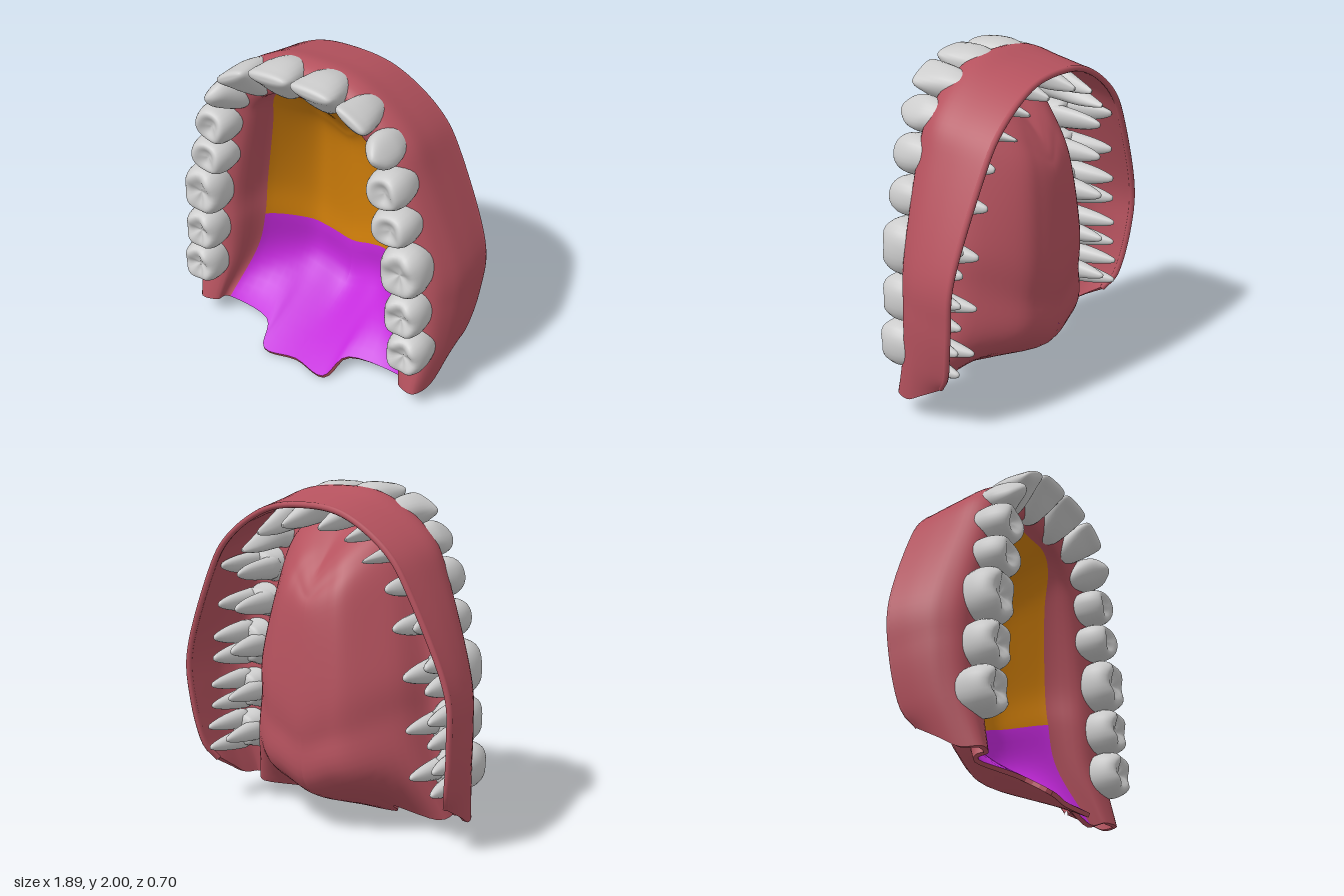
import * as THREE from 'three';
import { mergeVertices } from 'three/addons/utils/BufferGeometryUtils.js';

const V = (p) => new THREE.Vector3(...p);
const spline = (pts) => new THREE.CatmullRomCurve3(pts, false, 'catmullrom', 0.5);
const mat = (color, side = THREE.FrontSide) => new THREE.MeshStandardMaterial({ color, side });
const mirror = (p) => V([-p.x, p.y, p.z]);
const GUM = 0xb5525e;

// Guide lines of the left half, each from the front midline to the rear end
const RIM = [[0, 1.91, -.32], [.28, 1.87, -.32], [.55, 1.7, -.32], [.71, 1.47, -.31], [.92, .98, -.275], [.93, .66, -.25], [.89, .38, -.2], [.84, .26, -.13]].map(V);
const MARGIN = [[0, 1.985, .06], [.3, 1.94, .06], [.585, 1.735, .06], [.71, 1.475, .06], [.88, .98, .03], [.9, .7, .03], [.88, .42, .05], [.83, .12, .12]].map(V);
const RIDGE = [[0, 1.8, .14], [.21, 1.77, .14], [.39, 1.64, .13], [.46, 1.45, .12], [.57, .97, .12], [.59, .7, .12], [.62, .42, .13], [.68, .12, .2]].map(V);
const PALATE_EDGE = [[0, 1.74, .07], [.2, 1.74, .06], [.31, 1.65, .03], [.37, 1.42, -.03], [.46, .98, -.08], [.48, .72, -.07], [.53, .45, -.04], [.64, .11, .12]].map(V);
const MIDLINE = [[1.5, -.17], [1.45, -.21], [1.38, -.25], [1.25, -.29], [.82, -.328], [.57, -.318], [.27, -.25], [.04, .29]].map(([y, z]) => V([0, y, z]));

// Line part way between two others, pushed in z and widened in x
const between = (a, b, t, dz = 0, wide = 1) => a.map((p, k) => {
  const q = p.clone().lerp(b[k], t);
  return q.set(q.x * wide, q.y, q.z + dz);
});
// Palate vault lines, deepening toward the rear; their ends make the notched back edge
const vault = (t, depth, end) => between(PALATE_EDGE, MIDLINE, t)
  .map((p, k) => (k < 7 ? p.setZ(p.z - depth * Math.min(1, k / 3)) : V(end)));
const LINES = [
  RIM, between(RIM, MARGIN, .55, 0, 1.015), MARGIN, between(MARGIN, RIDGE, .3, .08), RIDGE, PALATE_EDGE,
  vault(.4, .085, [.31, .125, .17]), vault(.68, .06, [.22, .035, .32]), MIDLINE,
];
const SUB = 7, COLS = 5;
const N = 2 * (RIM.length - 1) * SUB, M = (LINES.length - 1) * COLS, EDGE = 5 * COLS;

function buildJaw(group) {
  const rails = LINES.map((l) => spline([...l.slice(1).reverse().map(mirror), ...l]));
  const grid = [];
  for (let i = 0; i <= N; i++) {
    const pts = rails.map((r) => r.getPoint(i / N));
    // one point past the midline keeps the vault level where the halves meet
    const section = spline([...pts, mirror(pts[pts.length - 2])]);
    for (let j = 0; j <= M; j++) grid.push(section.getPoint(j / (M + COLS)));
  }
  const id = (i, j) => i * (M + 1) + j;
  const faces = (i0, i1, j0, j1) => {
    const out = [];
    for (let i = i0; i < i1; i++) for (let j = j0; j < j1; j++) {
      const a = id(i, j), b = id(i, j + 1), c = id(i + 1, j + 1), d = id(i + 1, j);
      out.push(a, b, d, b, c, d);
    }
    return out;
  };
  const whole = new THREE.BufferGeometry().setFromPoints(grid);
  whole.setIndex(faces(0, N, 0, M));
  whole.computeVertexNormals();
  const normals = grid.map((_, k) => {
    const n = new THREE.Vector3().fromBufferAttribute(whole.attributes.normal, k);
    if (k % (M + 1) === M) n.x = 0; // both halves meet smoothly on the midline
    return n.normalize();
  });
  const add = (name, color, pts, norms, index) => {
    const g = new THREE.BufferGeometry().setFromPoints(pts);
    g.setAttribute('normal', new THREE.Float32BufferAttribute(norms.flatMap((n) => n.toArray()), 3));
    g.setIndex(index);
    const mesh = new THREE.Mesh(g.toNonIndexed(), mat(color));
    mesh.name = name;
    group.add(mesh);
  };
  add('gum', GUM, grid, normals, faces(0, N, 0, EDGE));
  add('hardPalate', 0xd17f0a, grid, normals, faces(2 * SUB, N - 2 * SUB, EDGE, M));
  add('softPalate', 0xc428dc, grid, normals, [...faces(0, 2 * SUB, EDGE, M), ...faces(N - 2 * SUB, N, EDGE, M)]);

  // Inner side of the shell
  const back = grid.map((p, k) => p.clone().addScaledVector(normals[k], -.026));
  add('gumBack', GUM, back, normals.map((n) => n.clone().negate()), faces(0, N, 0, M).reverse());

  // Cut edges at the two rear ends
  const strip = [];
  for (const i of [0, N]) for (let j = 0; j < M; j++) {
    const a = id(i, j), b = id(i, j + 1);
    strip.push(grid[a], grid[b], back[b], grid[a], back[b], back[a]);
  }
  const stripGeometry = new THREE.BufferGeometry().setFromPoints(strip);
  stripGeometry.computeVertexNormals();
  const ends = new THREE.Mesh(stripGeometry, mat(GUM, THREE.DoubleSide));
  ends.name = 'rearEdge';
  group.add(ends);

  // Rolled lip along the back rim
  const lip = [];
  for (let i = 0; i <= N; i += 2) lip.push(grid[id(i, 0)].clone().lerp(back[id(i, 0)], .6));
  const rim = new THREE.Mesh(new THREE.TubeGeometry(spline(lip), 96, .018, 8), mat(GUM));
  rim.name = 'gumRim';
  group.add(rim);
}

// Tooth loft; profile rows: z, width scale, depth scale, outward shift, cusp height
function loft(profile, w, d, { cusps = 0, taper = 0, ox = 0, oy = 0, seg = 28, rows = 30 }) {
  const size = spline(profile.map((p) => V(p.slice(0, 3))));
  const extra = spline(profile.map((p) => V([p[3] || 0, p[4] || 0, 0])));
  const pos = [], idx = [];
  for (let i = 0; i <= rows; i++) {
    const s = size.getPoint(i / rows), e = extra.getPoint(i / rows);
    for (let j = 0; j < seg; j++) {
      const t = j / seg * Math.PI * 2, c = Math.cos(t), n = Math.sin(t);
      const r = .5 / Math.pow(Math.abs(c) ** 2.4 + Math.abs(n) ** 2.4, 1 / 2.4);
      const v = n * r * d * Math.max(s.z, 0) + e.x;
      pos.push(ox + c * r * w * Math.max(s.y, 0) * (1 + taper * v / d), oy + v, s.x - e.y * Math.cos(cusps * t));
      if (i < rows) {
        const a = i * seg + j, b = i * seg + (j + 1) % seg;
        idx.push(a, b, a + seg, b, b + seg, a + seg);
      }
    }
  }
  let g = new THREE.BufferGeometry();
  g.setAttribute('position', new THREE.Float32BufferAttribute(pos, 3));
  g.setIndex(idx);
  g = mergeVertices(g, 1e-5);
  g.computeVertexNormals();
  return g;
}

const FRONT_ROOT = [[-.34, 0, 0, -.1], [-.325, .14, .16, -.1], [-.18, .46, .5, -.07], [-.02, .68, .76, -.025], [.06, .8, .88, -.005], [.14, .95, 1]];
const INCISOR = [...FRONT_ROOT, [.22, 1, .76, .03], [.28, .97, .46, .06], [.315, .88, .3, .075], [.33, .62, .14, .08], [.332, 0, 0, .08]];
const CANINE = [...FRONT_ROOT, [.2, 1, .85, .015], [.27, .82, .55, .035], [.32, .4, .3, .045], [.338, .12, .1, .05], [.34, 0, 0, .05]];
const GRINDER = [[0, 0, 0], [.01, .6, .6], [.06, .76, .8], [.12, .9, .94], [.19, 1, 1], [.25, .95, .94, 0, .002],
  [.29, .8, .78, 0, .008], [.296, .6, .56, 0, .01], [.275, .3, .28, 0, .006], [.262, 0, 0]];
const root = (tip, lean) => [[tip, 0, 0, lean], [tip + .015, .3, .3, lean], [tip + .1, .68, .68, lean * .6], [-.02, .95, .95, lean * .2], [.08, 1, 1], [.1, 0, 0]];

// Half arch: name, x, y, turn, width, depth, profile, cusps, root places, root tip
const TWO = [[0, .05], [0, -.05]], THREE_ROOTS = [[-.065, .045], [.065, .045], [0, -.06]];
const TEETH = [
  ['centralIncisor', .133, 1.88, -.06, .245, .24, INCISOR],
  ['lateralIncisor', .352, 1.815, -.5, .195, .22, INCISOR],
  ['canine', .5, 1.68, -.9, .195, .21, CANINE],
  ['firstPremolar', .58, 1.485, -1.25, .23, .24, GRINDER, 2, TWO, -.27],
  ['secondPremolar', .622, 1.26, -1.45, .225, .255, GRINDER, 2, TWO, -.25],
  ['firstMolar', .692, .99, -1.52, .325, .275, GRINDER, 4, THREE_ROOTS, -.23],
  ['secondMolar', .715, .695, -1.57, .28, .245, GRINDER, 4, THREE_ROOTS, -.23],
  ['thirdMolar', .742, .43, -1.63, .275, .25, GRINDER, 4, THREE_ROOTS, -.23],
];

export function createModel() {
  const group = new THREE.Group();
  group.name = 'upperJaw';
  buildJaw(group);
  const enamel = mat(0xcccccc);
  for (const [name, x, y, turn, w, d, profile, cusps, roots = [], tip] of TEETH) {
    // front teeth narrow toward the tongue
    const parts = [loft(profile, w, d, { cusps, taper: cusps ? 0 : .45 })];
    for (const [u, v] of roots) {
      const width = w * (roots.length > 2 ? .42 : .6);
      parts.push(loft(root(tip, v * .3), width, d * .44, { ox: u, oy: v, seg: 14, rows: 14 }));
    }
    for (const side of [1, -1]) {
      const tooth = new THREE.Group();
      tooth.name = name + (side > 0 ? 'Left' : 'Right');
      parts.forEach((g, k) => {
        const mesh = new THREE.Mesh(g, enamel);
        mesh.name = k ? 'root' : 'crown';
        tooth.add(mesh);
      });
      tooth.position.set(side * x, y, 0);
      tooth.rotation.z = side * turn;
      group.add(tooth);
    }
  }
  return group;
}
